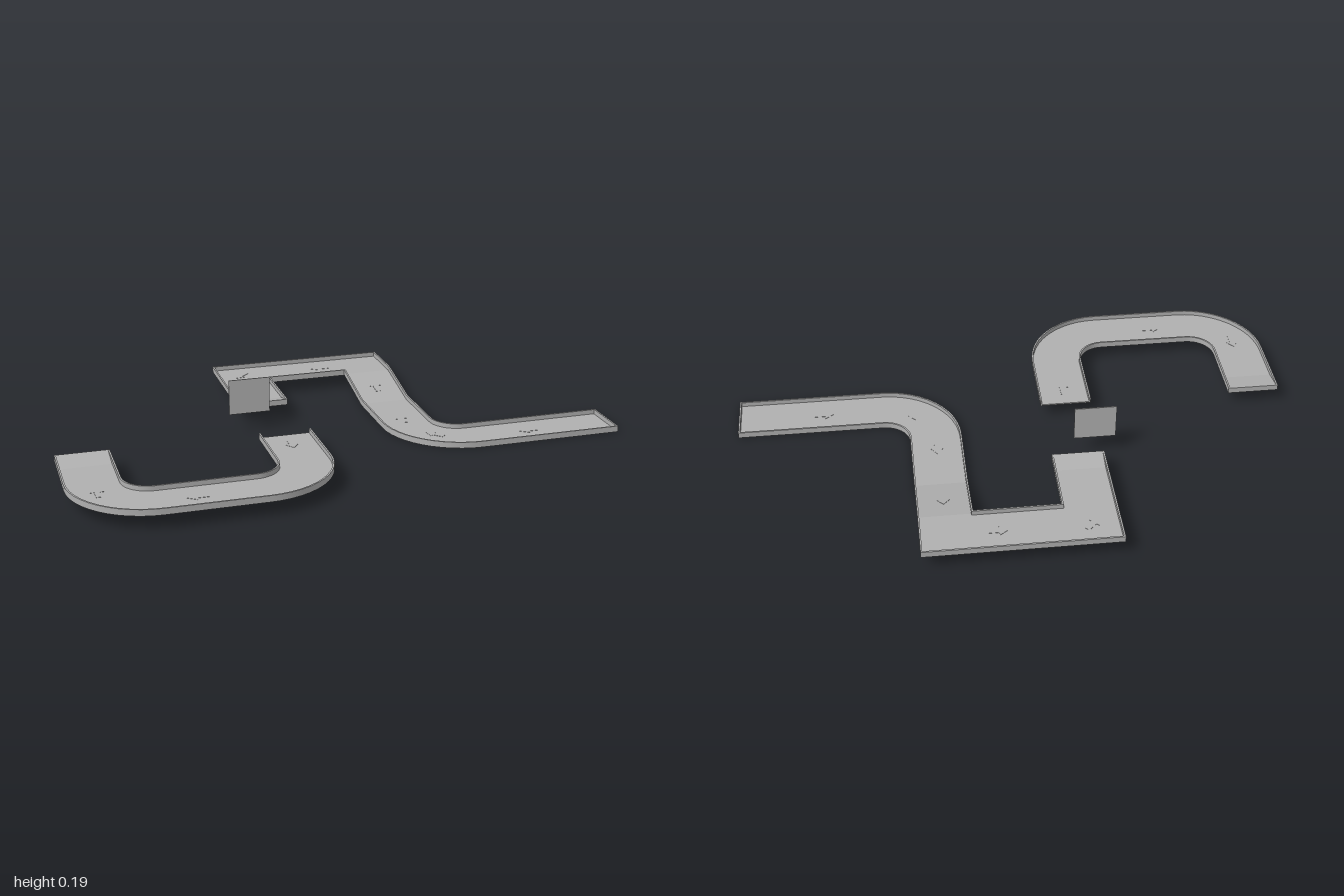
import * as THREE from 'three';
import { toCreasedNormals } from 'three/addons/utils/BufferGeometryUtils.js';

const HALF = 0.0935; // half track width
const WALL = 0.006;  // curb thickness
const H = 0.022;     // curb height
const FLOOR = 0.005; // floor thickness
const HIGH = 0.048;  // base of the raised sections
const RAMP = H - 0.0005;

const gray = new THREE.MeshStandardMaterial({ color: 0xb0b0b0 });
gray.name = 'track gray';

// Replace path points that carry a radius with sampled quarter arcs.
function roundPath(path) {
  const out = [];
  path.forEach((p, i) => {
    if (!p.r) return out.push(p);
    const toward = (q) => {
      const l = Math.hypot(q.x - p.x, q.z - p.z);
      return { x: (q.x - p.x) / l, z: (q.z - p.z) / l };
    };
    const a = toward(path[i - 1]), b = toward(path[i + 1]);
    for (let k = 0; k <= 12; k++) {
      const t = (k / 12) * Math.PI / 2;
      const u = p.r * (1 - Math.sin(t)), v = p.r * (1 - Math.cos(t));
      out.push({ ...p, x: p.x + a.x * u + b.x * v, z: p.z + a.z * u + b.z * v });
    }
  });
  return out;
}

// Sweep a curbed channel along a centre line with mitred corners.
function channel(name, path) {
  const pts = roundPath(path);
  const sections = pts.map((p, i) => {
    const dir = (a, b) => {
      const l = Math.hypot(b.x - a.x, b.z - a.z);
      return [(b.x - a.x) / l, (b.z - a.z) / l];
    };
    const d1 = i > 0 ? dir(pts[i - 1], p) : dir(p, pts[1]);
    const d2 = i < pts.length - 1 ? dir(p, pts[i + 1]) : d1;
    const k = 1 / (1 + d1[0] * d2[0] + d1[1] * d2[1]);
    const nx = -(d1[1] + d2[1]) * k, nz = (d1[0] + d2[0]) * k;
    const inner = HALF - WALL, f = p.floor ?? FLOOR;
    return [[-HALF, 0], [-HALF, H], [-inner, H], [-inner, f],
      [inner, f], [inner, H], [HALF, H], [HALF, 0]]
      .map(([s, y]) => [p.x + nx * s, p.y + y, p.z + nz * s]);
  });
  const pos = [];
  const quad = (a, b, c, d) => pos.push(...a, ...b, ...c, ...a, ...c, ...d);
  for (let i = 0; i < sections.length - 1; i++) {
    const a = sections[i], b = sections[i + 1];
    for (let j = 0; j < 8; j++) {
      const n = (j + 1) % 8;
      quad(a[j], a[n], b[n], b[j]);
    }
  }
  // end faces
  const first = sections[0], last = sections[sections.length - 1];
  for (const [a, b, c, d] of [[0, 1, 2, 3], [0, 3, 4, 7], [4, 5, 6, 7]]) {
    quad(first[d], first[c], first[b], first[a]);
    quad(last[a], last[b], last[c], last[d]);
  }
  const geo = new THREE.BufferGeometry();
  geo.setAttribute('position', new THREE.Float32BufferAttribute(pos, 3));
  const mesh = new THREE.Mesh(toCreasedNormals(geo, 0.18), gray);
  mesh.name = name;
  return mesh;
}

function box(name, w, h, d, x, y, z) {
  const mesh = new THREE.Mesh(new THREE.BoxGeometry(w, h, d), gray);
  mesh.name = name;
  mesh.position.set(x, y, z);
  return mesh;
}

export function createModel() {
  const model = new THREE.Group();
  model.name = 'raceTrack';

  // climbing track: low start, slope, square bends, take-off ramp
  model.add(channel('climbingTrack', [
    { x: 1, z: 0.198, y: 0 },
    { x: 0.2875, z: 0.198, y: 0, r: 0.187 },
    { x: 0.2875, z: -0.24, y: 0 },
    { x: 0.2875, z: -0.46, y: HIGH },
    { x: 0.2875, z: -0.555, y: HIGH },
    { x: -0.2, z: -0.555, y: HIGH },
    { x: -0.2, z: -0.27, y: HIGH },
    { x: -0.2, z: -0.2, y: HIGH, floor: RAMP },
  ]));
  model.add(box('startWall', WALL, H, 2 * HALF, 1 - WALL / 2, H / 2, 0.198));

  // landing track: raised U with a ramp at its far end
  model.add(channel('landingTrack', [
    { x: -0.2, z: 0.11, y: HIGH },
    { x: -0.2, z: 0.55, y: HIGH, r: 0.187 },
    { x: -0.9065, z: 0.55, y: HIGH, r: 0.187 },
    { x: -0.9065, z: 0.2, y: HIGH },
    { x: -0.9065, z: 0.11, y: HIGH, floor: RAMP },
  ]));

  // upright panel floating in the gap
  model.add(box('signPanel', 0.15, 0.13, 0.004, -0.273, 0.13, -0.112));

  // thin direction arrows on the floor
  const shape = new THREE.Shape([[-0.009, -0.035], [0.009, -0.035], [0.009, 0.005], [0.022, 0.005],
    [0, 0.035], [-0.022, 0.005], [-0.009, 0.005]].map(([x, y]) => new THREE.Vector2(x, y)));
  const arrowGeo = new THREE.ExtrudeGeometry(shape, { depth: 0.001, bevelEnabled: false });
  const Q = Math.PI / 2;
  const slope = Math.atan2(HIGH, 0.22);
  [
    [0.69, 0, 0.198, Q, 0], [0.35, 0, 0.14, Q / 2, 0], [0.2875, 0, -0.04, 0, 0],
    [0.2875, HIGH / 2, -0.35, 0, slope], [0.12, HIGH, -0.555, Q, 0], [-0.2, HIGH, -0.555, 1.5 * Q, 0],
    [-0.2, HIGH, 0.2, 2 * Q, 0], [-0.6, HIGH, 0.55, Q, 0], [-0.9, HIGH, 0.43, 0, 0],
  ].forEach(([x, y, z, yaw, pitch]) => {
    const arrow = new THREE.Mesh(arrowGeo, gray);
    arrow.name = 'floorArrow';
    arrow.rotation.set(-Q + pitch, yaw, 0, 'YXZ');
    arrow.position.set(x, y + FLOOR, z);
    model.add(arrow);
  });
  return model;
}
